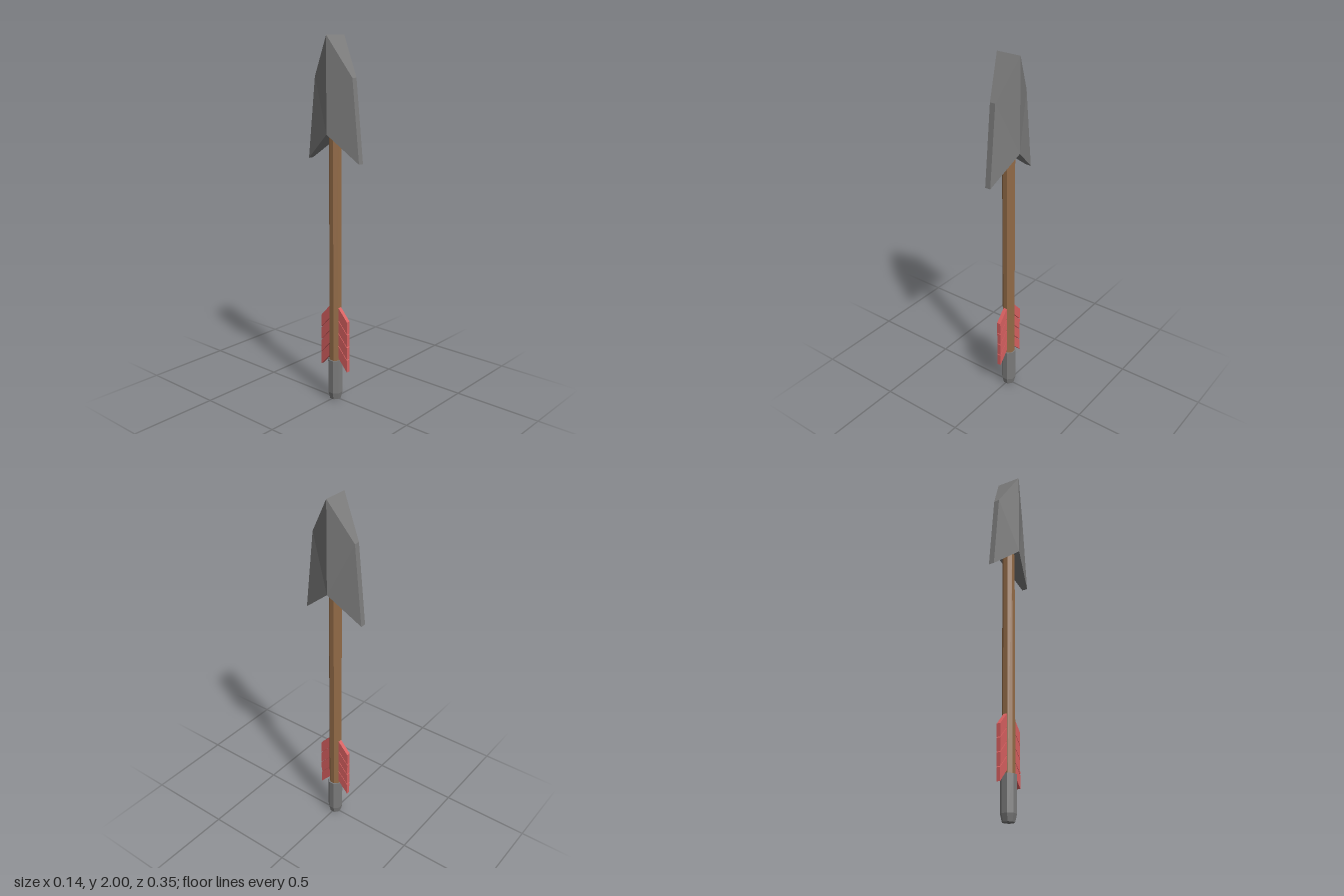
import * as THREE from 'three';

export function createModel() {
  const model = new THREE.Group();
  model.name = 'arrow';
  const material = (name, color) => {
    const m = new THREE.MeshStandardMaterial({ color, flatShading: true });
    m.name = name;
    return m;
  };
  const steel = material('steel grey', 0x7c7c7c);
  const wood = material('wood brown', 0x946c48);
  const feather = material('feather red', 0xd86060);

  const add = (name, geometry, mat) => {
    const mesh = new THREE.Mesh(geometry, mat);
    mesh.name = name;
    model.add(mesh);
    return mesh;
  };

  // Eight-sided tube with a flat face towards each axis; r is the half width
  const octagon = (rTop, rBottom, y0, y1) => {
    const k = 1 / Math.cos(Math.PI / 8);
    const g = new THREE.CylinderGeometry(rTop * k, rBottom * k, y1 - y0, 8);
    g.rotateY(Math.PI / 8);
    g.translate(0, (y0 + y1) / 2, 0);
    return g;
  };

  // Shaft
  add('shaft', octagon(0.032, 0.032, 0.2, 1.51), wood);

  // End cap with a tapered foot
  add('endCap', octagon(0.039, 0.039, 0.04, 0.235), steel);
  add('endCapFoot', octagon(0.039, 0.03, 0, 0.04), steel);

  // Half of the barbed head: profile [half width x, y, z] mirrored in x
  const profile = [[0.07, 2, 0], [0.016, 1.79, 0.128], [0.016, 1.355, 0.175], [0.07, 1.5, 0]];
  const positions = [];
  const quad = (a, b, c, d) => positions.push(...a, ...b, ...c, ...a, ...c, ...d);
  const left = profile;
  const right = profile.map(([x, y, z]) => [-x, y, z]);
  for (let i = 0; i < 3; i++) quad(left[i], right[i], right[i + 1], left[i + 1]);
  quad(left[1], left[2], left[3], left[0]);
  quad(right[1], right[0], right[3], right[2]);
  const headHalf = new THREE.BufferGeometry();
  headHalf.setAttribute('position', new THREE.Float32BufferAttribute(positions, 3));
  headHalf.computeVertexNormals();
  add('headFront', headHalf, steel);
  add('headBack', headHalf.clone().rotateY(Math.PI), steel);

  // Slanted feather barbs, four on each side of the shaft
  const inner = 0.02, outer = 0.094, rise = 0.082, pitch = 0.0747, height = 0.07;
  const barb = new THREE.Shape([
    new THREE.Vector2(inner, rise),
    new THREE.Vector2(outer, 0),
    new THREE.Vector2(outer, height),
    new THREE.Vector2(inner, rise + height),
  ]);
  const barbGeometry = new THREE.ExtrudeGeometry(barb, { depth: 0.022, bevelEnabled: false });
  barbGeometry.translate(0, 0, -0.011);
  for (const side of [-1, 1]) {
    for (let i = 0; i < 4; i++) {
      const mesh = add(side < 0 ? 'frontFeather' : 'backFeather', barbGeometry, feather);
      mesh.rotation.y = side * Math.PI / 2;
      mesh.position.y = 0.182 + i * pitch;
    }
  }
  return model;
}
